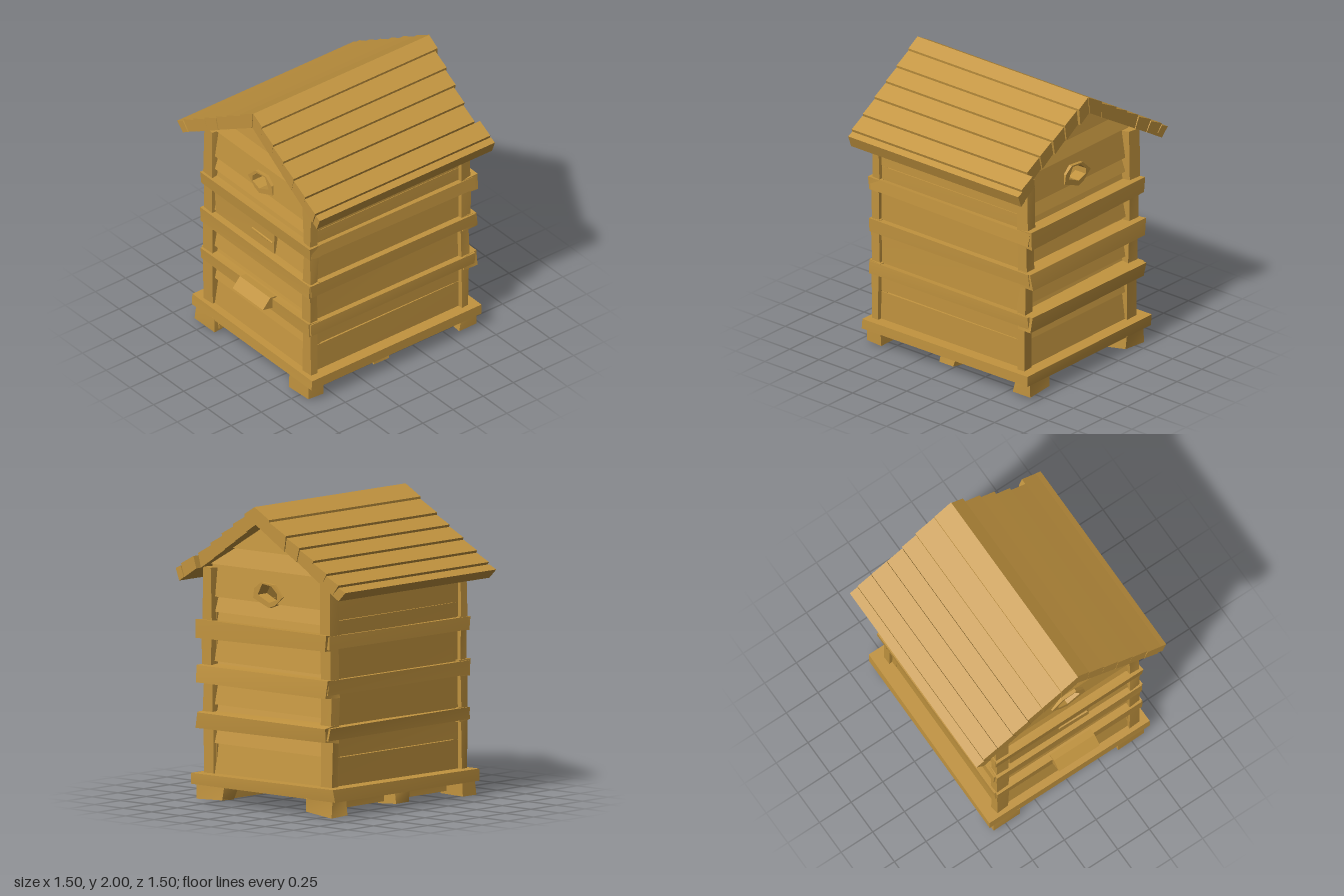
import * as THREE from 'three';

const wood = new THREE.MeshStandardMaterial({ color: 0xc2943f });
wood.name = 'honey wood';

// small seeded wobble for hand-hewn timber
let seed = 7;
const rand = () => ((seed = (seed * 16807) % 2147483647) / 2147483647) - 0.5;

function add(parent, name, geo) {
  geo.computeVertexNormals();
  const mesh = new THREE.Mesh(geo, wood);
  mesh.name = name;
  parent.add(mesh);
  return mesh;
}

// rough plank given by its extents, each corner nudged a little
function plank(parent, name, x0, x1, y0, y1, z0, z1, rough = 0.014) {
  const geo = new THREE.BoxGeometry(1, 1, 1);
  const off = Array.from({ length: 8 }, () => [rand() * rough, rand() * rough, rand() * rough]);
  const p = geo.attributes.position;
  for (let i = 0; i < p.count; i++) {
    const a = p.getX(i) > 0, b = p.getY(i) > 0, c = p.getZ(i) > 0;
    const o = off[a * 1 + b * 2 + c * 4];
    p.setXYZ(i, (a ? x1 : x0) + o[0], (b ? y1 : y0) + o[1], (c ? z1 : z0) + o[2]);
  }
  return add(parent, name, geo);
}

// polygon in x,y (with optional hole) extruded from z0 to z1
function slab(points, z0, z1, hole) {
  const v = (list) => list.map(([x, y]) => new THREE.Vector2(x, y));
  const shape = new THREE.Shape(v(points));
  if (hole) shape.holes.push(new THREE.Path(v(hole)));
  return new THREE.ExtrudeGeometry(shape, { depth: z1 - z0, bevelEnabled: false }).translate(0, 0, z0);
}

const HOLE = [[-0.05, 1.38], [0.02, 1.355], [0.12, 1.4], [0.08, 1.475], [0, 1.465], [-0.05, 1.42]];
const RIM = [[-0.1, 1.4], [-0.03, 1.34], [0.02, 1.32], [0.16, 1.375], [0.15, 1.44], [0.09, 1.485], [-0.02, 1.475]];

// wall limits under the roof
const leftAt = (y) => Math.max(-0.52, 0.04 - (1.92 - y) / 0.623);
const rightAt = (y) => Math.min(0.55, 0.04 + (1.92 - y) / 0.65);

// end wall of lapped boards; s = 1 front, -1 back
function endWall(parent, s) {
  const g = new THREE.Group();
  g.name = s > 0 ? 'frontWall' : 'backWall';
  parent.add(g);
  const edges = [0.17, 0.385, 0.52, 0.64, 0.81, 0.925, 1.1, 1.25, 1.35, 1.585, 1.685, 1.9];
  for (let i = 0; i < edges.length - 1; i++) {
    const y0 = edges[i], y1 = edges[i + 1];
    const corner = y0 < 1.6 && y1 > 1.56 ? 1.565 : null;
    const pts = [[leftAt(y0), y0], [rightAt(y0), y0]];
    if (corner) pts.push([rightAt(corner), corner]);
    pts.push([rightAt(y1), y1], [leftAt(y1), y1]);
    if (corner) pts.push([leftAt(corner), corner]);
    const geo = slab(pts, s > 0 ? 0.55 : -0.6, s > 0 ? 0.6 : -0.55, i === 8 ? HOLE : null);
    // the lower edge of each board stands proud of the one below
    const p = geo.attributes.position;
    for (let k = 0; k < p.count; k++) {
      if (p.getZ(k) * s > 0.575) p.setZ(k, s * (0.6 + 0.035 * (y1 - p.getY(k)) / (y1 - y0)));
    }
    add(g, 'lappedBoard', geo);
  }
  add(g, 'entranceRim', slab(RIM, s > 0 ? 0.59 : -0.64, s > 0 ? 0.64 : -0.59, HOLE));
}

export function createModel() {
  const root = new THREE.Group();
  root.name = 'beehive';

  endWall(root, 1);
  endWall(root, -1);

  // side walls, in boards with narrow seams
  const sideEdges = [0.17, 0.38, 0.55, 0.85, 1.15, 1.28, 1.53];
  for (let i = 0; i < sideEdges.length - 1; i++) {
    const y0 = sideEdges[i], y1 = sideEdges[i + 1];
    plank(root, 'leftWallBoard', 0.5, 0.553, y0 + 0.004, y1, -0.62, 0.62, 0.006);
    plank(root, 'rightWallBoard', -0.52, -0.467, y0 + 0.004, y1, -0.62, 0.62, 0.006);
  }

  // corner posts, one section per tier
  const tiers = [0.17, 0.55, 0.85, 1.15, 1.54];
  for (let i = 0; i < 4; i++) {
    for (const [x0, x1] of [[-0.55, -0.455], [0.5, 0.58]]) {
      plank(root, 'frontPost', x0, x1, tiers[i], tiers[i + 1], 0.595, 0.655);
      const back = -0.65 - 0.008 * i;
      plank(root, 'backPost', x0, x1, tiers[i], tiers[i + 1], back, -0.59);
    }
  }

  // bands around the body
  for (const [y0, y1] of [[0.5, 0.59], [0.8, 0.9], [1.1, 1.19]]) {
    plank(root, 'frontBand', -0.555, 0.59, y0, y1, 0.58, 0.67);
    plank(root, 'backBand', -0.555, 0.59, y0 - 0.01, y1 + 0.01, -0.72, -0.6, 0.025);
    plank(root, 'leftBand', 0.52, 0.595, y0 + 0.004, y1 - 0.004, -0.7, 0.66);
    plank(root, 'rightBand', -0.565, -0.48, y0 + 0.004, y1 - 0.004, -0.7, 0.66);
  }

  // landing board: a wedge sloping out from the lowest front band
  const wedge = new THREE.ExtrudeGeometry(
    new THREE.Shape([[0.64, 0.515], [0.75, 0.535], [0.69, 0.605], [0.64, 0.6]].map(([z, y]) => new THREE.Vector2(-z, y))),
    { depth: 0.32, bevelEnabled: false }).rotateY(Math.PI / 2).translate(-0.12, 0, 0);
  add(root, 'landingBoard', wedge);

  // loose repair board on the front
  plank(root, 'repairBoard', -0.44, 0.18, 0.925, 1.08, 0.6, 0.645, 0.012);
  plank(root, 'repairSliver', -0.05, 0.17, 1.0, 1.012, 0.64, 0.652, 0.008);

  // base slab
  plank(root, 'base', -0.62, 0.63, 0.11, 0.187, -0.715, 0.69, 0.016);

  // runners and feet beneath
  for (const s of [-1, 1]) {
    const span = (a, b) => (s > 0 ? [a, b] : [-b, -a]);
    plank(root, 'runner', ...span(0.38, 0.45), 0.03, 0.12, -0.68, 0.66);
    plank(root, 'frontFoot', ...span(0.39, 0.595), 0.008, 0.115, 0.56, 0.685);
    plank(root, 'middleFoot', ...span(0.4, 0.54), 0.015, 0.115, -0.03, 0.09, 0.03);
    plank(root, 'backFoot', ...span(0.37, 0.59), 0.008, 0.115, -0.7, -0.57, 0.035);
  }

  // roof planks: each slope split into lapped strips from ridge to eave
  const slopes = [
    { name: 'rightRoofPlank', top: [0.05, 1.995], eave: [-0.75, 1.505], inner: [0.04, 1.88], lip: [-0.69, 1.445],
      cuts: [0, 0.165, 0.35, 0.49, 0.64, 0.79, 0.925, 1], backs: [-0.75, -0.752, -0.745, -0.74, -0.745, -0.748, -0.748] },
    { name: 'leftRoofPlank', top: [0.05, 1.995], eave: [0.75, 1.525], inner: [0.04, 1.88], lip: [0.72, 1.445],
      cuts: [0, 0.13, 0.3, 0.455, 0.615, 0.785, 0.94, 1], backs: [-0.745, -0.725, -0.715, -0.7, -0.69, -0.735, -0.74] },
  ];
  const mix = (a, b, t, lift = 0) => [a[0] + (b[0] - a[0]) * t, a[1] + (b[1] - a[1]) * t + lift];
  for (const r of slopes) {
    for (let i = 0; i < r.cuts.length - 1; i++) {
      const a = r.cuts[i], b = r.cuts[i + 1];
      const last = i === r.cuts.length - 2;
      const quad = [mix(r.top, r.eave, a, i ? -0.008 : 0), mix(r.top, r.eave, b, last ? 0 : 0.007),
        mix(r.inner, r.lip, b), mix(r.inner, r.lip, a)];
      add(root, r.name, slab(quad, r.backs[i], 0.715 + rand() * 0.008));
    }
  }
  return root;
}
